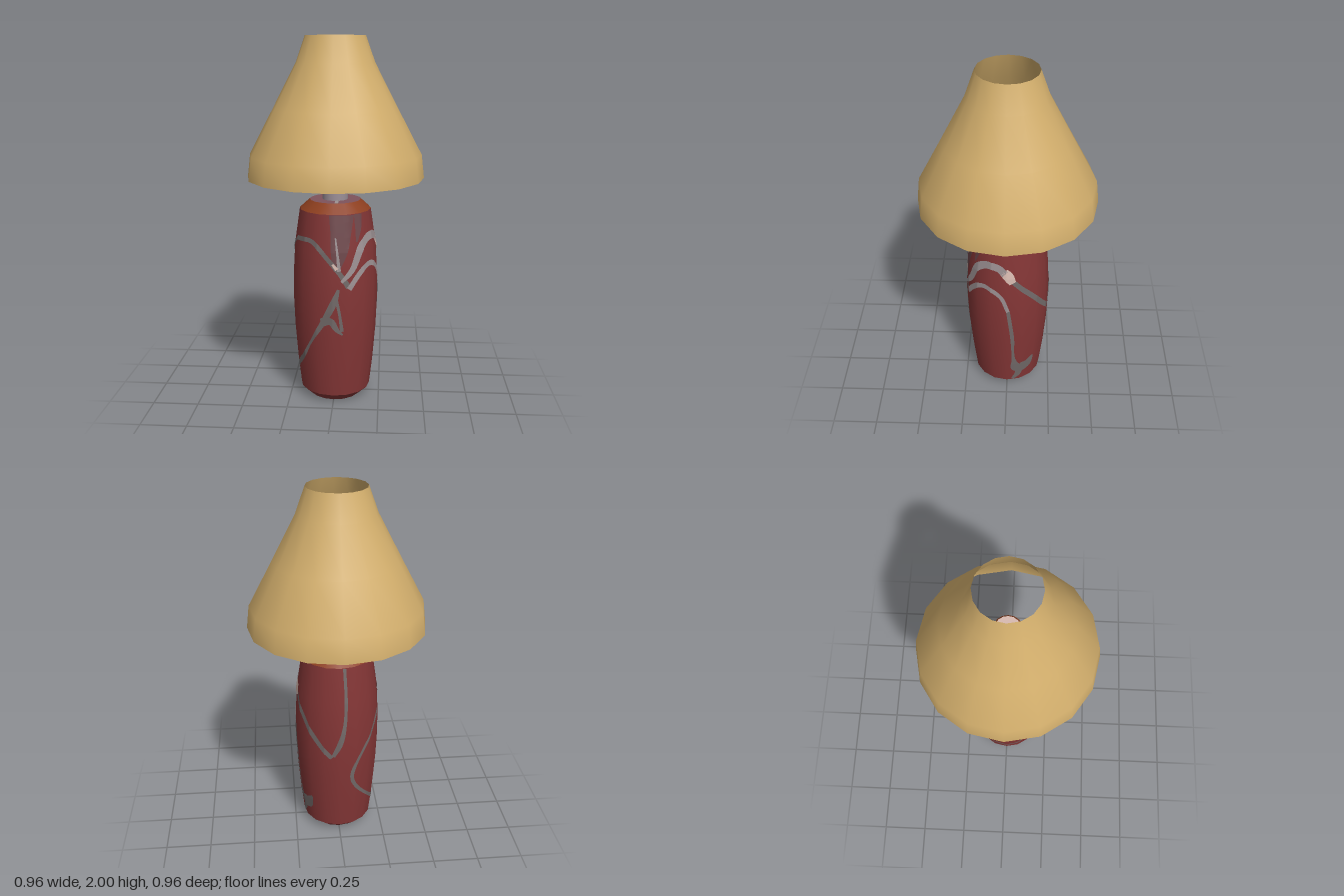
import * as THREE from 'three';

const SIDES = 16;
const paint = (name, color, side = THREE.FrontSide) => {
  const m = new THREE.MeshStandardMaterial({ color, side });
  m.name = name;
  return m;
};

// Ceramic body silhouette: [radius, height]
const BODY = [[0.195, 0.05], [0.212, 0.2], [0.228, 0.4], [0.234, 0.55], [0.234, 0.7], [0.224, 0.88], [0.195, 1.08]];

// Radius of the sixteen-sided body at a height and angle
function bodyRadius(y, theta) {
  let i = 0;
  while (i < BODY.length - 2 && y > BODY[i + 1][1]) i++;
  const [r0, y0] = BODY[i], [r1, y1] = BODY[i + 1];
  const r = r0 + (r1 - r0) * (y - y0) / (y1 - y0);
  const step = 2 * Math.PI / SIDES;
  const local = ((theta % step) + step) % step - step / 2;
  return r * Math.cos(step / 2) / Math.cos(local);
}

// Painted ribbon hugging the body; points are [degrees, height, width]
function ribbon(points, lift = 0.003) {
  const R = 0.225, along = 90, across = 8;
  const curve = new THREE.CatmullRomCurve3(
    points.map(([a, y, w]) => new THREE.Vector3(THREE.MathUtils.degToRad(a) * R, y, w)), false, 'centripetal');
  const pos = [], index = [];
  for (let i = 0; i <= along; i++) {
    const p = curve.getPoint(i / along), t = curve.getTangent(i / along);
    const len = Math.hypot(t.x, t.y) || 1;
    for (let j = 0; j <= across; j++) {
      const s = (j / across - 0.5) * p.z;
      const theta = (p.x - t.y / len * s) / R;
      const y = THREE.MathUtils.clamp(p.y + t.x / len * s, 0.052, 1.078);
      const r = bodyRadius(y, theta) + lift;
      pos.push(r * Math.sin(theta), y, r * Math.cos(theta));
      if (i < along && j < across) {
        const a = i * (across + 1) + j, b = a + across + 1;
        index.push(a, b, a + 1, b, b + 1, a + 1);
      }
    }
  }
  const g = new THREE.BufferGeometry();
  g.setAttribute('position', new THREE.Float32BufferAttribute(pos, 3));
  g.setIndex(index);
  g.computeVertexNormals();
  return g;
}

export function createModel() {
  const lamp = new THREE.Group();
  lamp.name = 'tableLamp';
  const tan = paint('shadeTan', 0xd2ae6c, THREE.DoubleSide);
  const red = paint('ceramicRed', 0x843636);
  const rust = paint('rimRust', 0x8c3e1e);
  const mauve = paint('mauve', 0x7e535c);
  const metal = paint('metalGrey', 0x9c9098);
  const pink = paint('palePink', 0xd8bab0, THREE.DoubleSide);
  const vein = paint('veinGrey', 0x726a69, THREE.DoubleSide);
  const bright = paint('veinLight', 0x9d9294, THREE.DoubleSide);
  const haze = paint('hazeMauve', 0x6e474b, THREE.DoubleSide);

  const add = (name, geometry, material) => {
    const mesh = new THREE.Mesh(geometry, material);
    mesh.name = name;
    lamp.add(mesh);
    return mesh;
  };
  const lathe = (name, profile, material) =>
    add(name, new THREE.LatheGeometry(profile.map(p => new THREE.Vector2(...p)), SIDES), material);

  // Body, bevels and caps
  lathe('body', BODY, red);
  lathe('footBevel', [[0.14, 0], [0.195, 0.05]], red);
  lathe('footUnderside', [[0, 0], [0.14, 0]], red);
  lathe('topRim', [[0.195, 1.08], [0.14, 1.13]], rust);
  lathe('topCap', [[0.14, 1.13], [0, 1.13]], mauve);

  // Light streaks across the top cap
  for (const [x, z] of [[0, -0.105], [0.015, 0.11]]) {
    add('capStreak', new THREE.BoxGeometry(0.018, 0.004, 0.06), bright).position.set(x, 1.132, z);
  }

  // Neck, stem and bulb holder
  lathe('neckCollar', [[0.07, 1.13], [0.07, 1.175]], metal);
  lathe('collarTop', [[0.07, 1.175], [0.05, 1.175]], metal);
  lathe('lowerStem', [[0.05, 1.175], [0.05, 1.25]], metal);
  lathe('upperStem', [[0.05, 1.25], [0.05, 1.43]], tan);
  lathe('holderFlare', [[0.05, 1.43], [0.075, 1.45]], tan);
  lathe('holder', [[0.075, 1.45], [0.075, 1.56]], tan);
  lathe('holderRim', [[0.075, 1.56], [0.066, 1.57]], rust);
  lathe('holderTop', [[0.066, 1.57], [0, 1.57]], pink);

  // Open lampshade
  lathe('lampshade', [[0.48, 1.25], [0.465, 1.375], [0.335, 1.62], [0.21, 1.86], [0.16, 2]], tan);

  // Marbled haze running down from the rim
  add('haze', ribbon([[14, 1.08, 0.16], [12, 0.98, 0.12], [9, 0.88, 0.09], [5, 0.78, 0.03]], 0.002), haze);
  add('sideHaze', ribbon([[42, 1.08, 0.06], [40, 1.0, 0.04], [36, 0.93, 0.01]], 0.002), haze);

  // Marble veins wandering around the body
  const veins = {
    frontVein: [vein, [[-66, 0.93, 0.025], [-31, 0.93, 0.025], [-8, 0.85, 0.025], [9, 0.77, 0.025], [22, 0.69, 0.03]]],
    lowerArch: [bright, [[22, 0.68, 0.03], [34, 0.74, 0.03], [48, 0.79, 0.03], [62, 0.8, 0.03], [82, 0.75, 0.025], [92, 0.65, 0.02]]],
    upperArch: [bright, [[12, 0.72, 0.015], [28, 0.79, 0.035], [44, 0.91, 0.045], [62, 0.95, 0.045], [80, 0.94, 0.045], [88, 0.91, 0.045]]],
    lowerTail: [vein, [[92, 0.65, 0.02], [98, 0.44, 0.022], [101, 0.24, 0.025], [107, 0.17, 0.08], [122, 0.17, 0.08], [134, 0.23, 0.015]]],
    tailDrip: [vein, [[114, 0.17, 0.06], [108, 0.1, 0.04], [100, 0.06, 0.02]]],
    upperTail: [vein, [[97, 0.87, 0.03], [108, 0.82, 0.03], [128, 0.73, 0.03], [150, 0.62, 0.03], [168, 0.54, 0.025]]],
    backDrop: [vein, [[187, 1.08, 0.02], [188, 0.9, 0.018], [186, 0.75, 0.02], [180, 0.64, 0.03], [170, 0.55, 0.02]]],
    backBend: [vein, [[-66, 0.93, 0.02], [-87, 0.87, 0.02], [-123, 0.69, 0.018], [-163, 0.4, 0.022],
      [-129, 0.22, 0.02], [-95, 0.14, 0.03], [-76, 0.15, 0.02], [-64, 0.21, 0.02]]],
    leftRise: [vein, [[-64, 0.21, 0.03], [-48, 0.27, 0.025], [-35, 0.35, 0.015], [-13, 0.49, 0.03], [2, 0.61, 0.035], [8, 0.68, 0.015]]],
    smallFork: [vein, [[-16, 0.49, 0.05], [-3, 0.5, 0.04], [6, 0.45, 0.025], [14, 0.42, 0.01]]],
    smallDrip: [vein, [[4, 0.64, 0.02], [9, 0.55, 0.015], [13, 0.44, 0.02]]],
    hazeStreak: [bright, [[4, 0.96, 0.008], [7, 0.86, 0.014], [9, 0.78, 0.02]]],
    archGlow: [pink, [[86, 0.925, 0.055], [92, 0.9, 0.06], [99, 0.85, 0.04]]],
    frontGlow: [pink, [[0, 0.82, 0.012], [6, 0.79, 0.02]]],
  };
  for (const [name, [material, points]] of Object.entries(veins)) {
    add(name, ribbon(points, material === vein ? 0.003 : 0.004), material);
  }
  return lamp;
}
